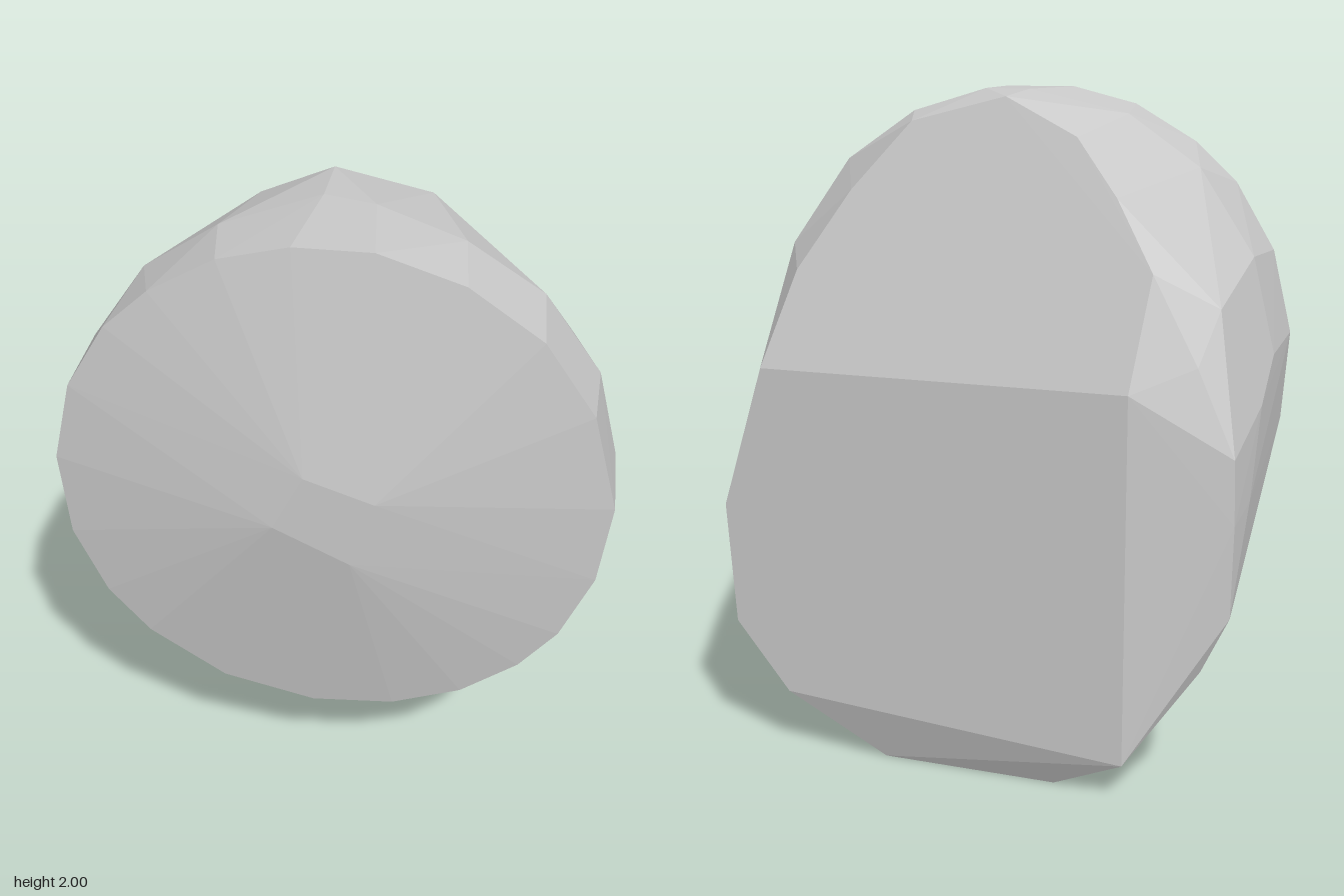
import * as THREE from 'three';
import { ConvexGeometry } from 'three/addons/geometries/ConvexGeometry.js';

// Place a list of [x, y] outline points at one depth
const atDepth = (z, outline) => outline.map(([x, y]) => new THREE.Vector3(x, y, z));

export function createModel() {
  const stone = new THREE.MeshStandardMaterial({ color: 0xcacaca, flatShading: true });
  stone.name = 'stone grey';

  const backZ = -0.425, topY = 1.2;
  const points = [
    // small raised plateau in the middle of the front
    ...atDepth(0.425, [[-0.15, 1.17], [-0.06, 1.35], [0.14, 1.28], [0.07, 1.06]]),
    // round front rim
    ...atDepth(0.31, [
      [0.8, 1.25], [0.77, 0.99], [0.68, 0.77], [0.57, 0.63], [0.4, 0.5], [0.19, 0.42], [-0.06, 0.4],
      [-0.34, 0.47], [-0.57, 0.63], [-0.69, 0.78], [-0.78, 1.0], [-0.8, 1.27], [-0.74, 1.52],
      [-0.62, 1.72], [-0.49, 1.84], [-0.3, 1.95], [-0.1, 2], [0.12, 2], [0.36, 1.92], [0.57, 1.77], [0.72, 1.55],
    ]),
    // flat back
    ...atDepth(backZ, [[0.63, topY], [0.765, 0.77], [0.74, 0.4], [0.57, 0.19], [-0.49, 0.11], [-0.49, topY]]),
    // chamfer on the -x side of the back
    ...atDepth(-0.33, [[-0.66, 1.27], [-0.77, 1.02], [-0.775, 0.83], [-0.77, 0.56], [-0.69, 0.39]]),
    // foot
    ...atDepth(-0.375, [[-0.27, 0], [0.27, 0]]),
    ...atDepth(-0.33, [[-0.01, 0]]),
  ];

  // sloping upper back: height follows depth along one plane
  for (const [x, z] of [[-0.53, -0.335], [-0.41, -0.28], [-0.28, -0.235], [-0.06, -0.205],
    [0.22, -0.225], [0.39, -0.28], [0.54, -0.345]]) {
    points.push(new THREE.Vector3(x, topY + (z - backZ) * 3.568, z));
  }

  // faceted belt round the upper half, mirrored left and right
  for (const s of [-1, 1]) {
    for (const [x, y, z] of [[0.34, 1.93, 0.08], [0.56, 1.78, 0.07], [0.73, 1.53, 0.05],
      [0.8, 1.25, 0.04], [0.798, 1.13, -0.11]]) {
      points.push(new THREE.Vector3(s * x, y, z));
    }
  }
  // uneven corners on the crown and shoulders
  points.push(
    new THREE.Vector3(0.09, 2, 0.04), new THREE.Vector3(-0.06, 2, 0),
    new THREE.Vector3(0.645, 1.54, -0.15), new THREE.Vector3(-0.7, 1.42, -0.24),
    new THREE.Vector3(-0.79, 0.87, -0.2),
  );

  const rock = new THREE.Mesh(new ConvexGeometry(points), stone);
  rock.name = 'rock';
  const model = new THREE.Group();
  model.name = 'boulder';
  model.add(rock);
  return model;
}
